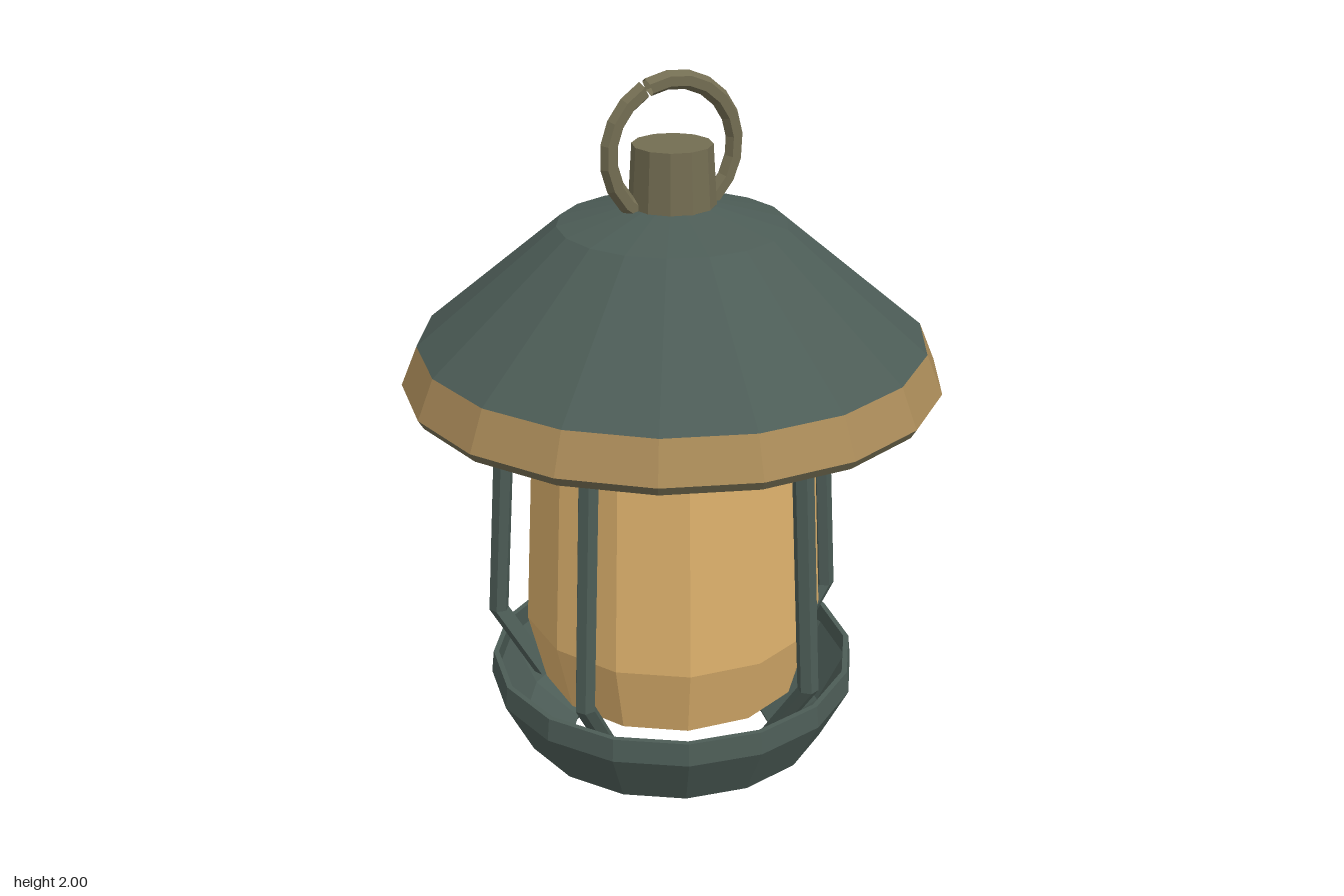
import * as THREE from 'three';

const iron = new THREE.MeshStandardMaterial({ color: 0x4c5c56 });
iron.name = 'grey green iron';
const gold = new THREE.MeshStandardMaterial({ color: 0xa98a58 });
gold.name = 'dull gold';
const brass = new THREE.MeshStandardMaterial({ color: 0x736d52, side: THREE.DoubleSide });
brass.name = 'olive brass';
const glow = new THREE.MeshStandardMaterial({ color: 0xdcb06c });
glow.name = 'amber glass';

// Faceted mesh: every face gets its own normal
function facet(name, geometry, material) {
  const g = geometry.index ? geometry.toNonIndexed() : geometry;
  g.computeVertexNormals();
  const mesh = new THREE.Mesh(g, material);
  mesh.name = name;
  return mesh;
}

// Turned part with a corner on the +x axis; points run up the outside
function turned(name, points, sides, material) {
  const profile = points.map(([r, y]) => new THREE.Vector2(r, y));
  return facet(name, new THREE.LatheGeometry(profile, sides, Math.PI / 2), material);
}

// Bar whose rings follow three [radius, height] stations from top to bottom
function bentBar(stations) {
  const g = new THREE.CylinderGeometry(0.029, 0.029, 1, 6, 2);
  const p = g.attributes.position;
  for (let i = 0; i < p.count; i++) {
    const [r, y] = stations[Math.round((0.5 - p.getY(i)) * 2)];
    p.setXYZ(i, p.getX(i) + r, y, p.getZ(i));
  }
  return g;
}

export function createModel() {
  const lantern = new THREE.Group();
  lantern.name = 'lantern';

  // Open bowl base with a thin wall and a hole underneath
  lantern.add(turned('base', [
    [0.305, 0], [0.445, 0.1], [0.525, 0.26], [0.518, 0.325],
    [0.503, 0.325], [0.508, 0.262], [0.432, 0.11], [0.3, 0.015], [0.305, 0],
  ], 16, iron));

  // Glowing glass body, closed at the bottom
  lantern.add(turned('glass', [
    [0, 0.27], [0.372, 0.27], [0.42, 0.47], [0.385, 1.14], [0, 1.14],
  ], 13, glow));

  // Five guard bars with bent feet
  for (let i = 0; i < 5; i++) {
    const bar = facet('guardBar', bentBar([[0.465, 1.15], [0.515, 0.4], [0.385, 0.2]]), iron);
    bar.rotation.y = i * Math.PI * 2 / 5;
    lantern.add(bar);
  }

  // Roof: underside, brass lip, gold band, sloping top
  lantern.add(turned('roofUnderside', [[0, 1.12], [0.38, 1.12], [0.712, 1.153]], 18, iron));
  lantern.add(turned('roofLip', [[0.712, 1.153], [0.727, 1.178]], 18, brass));
  lantern.add(turned('roofBand', [[0.727, 1.178], [0.682, 1.285]], 18, gold));
  lantern.add(turned('roofTop', [[0.682, 1.285], [0.305, 1.6], [0.115, 1.65], [0, 1.65]], 18, iron));

  // Cap on the roof
  lantern.add(turned('cap', [[0.117, 1.63], [0.106, 1.81], [0, 1.81]], 12, brass));

  // Hanging ring with a small split near the top
  const ring = facet('hangingRing', new THREE.TorusGeometry(0.182, 0.025, 6, 20, Math.PI * 2 - 0.08), brass);
  ring.position.y = 1.793;
  ring.rotation.z = THREE.MathUtils.degToRad(117);
  lantern.add(ring);

  return lantern;
}
